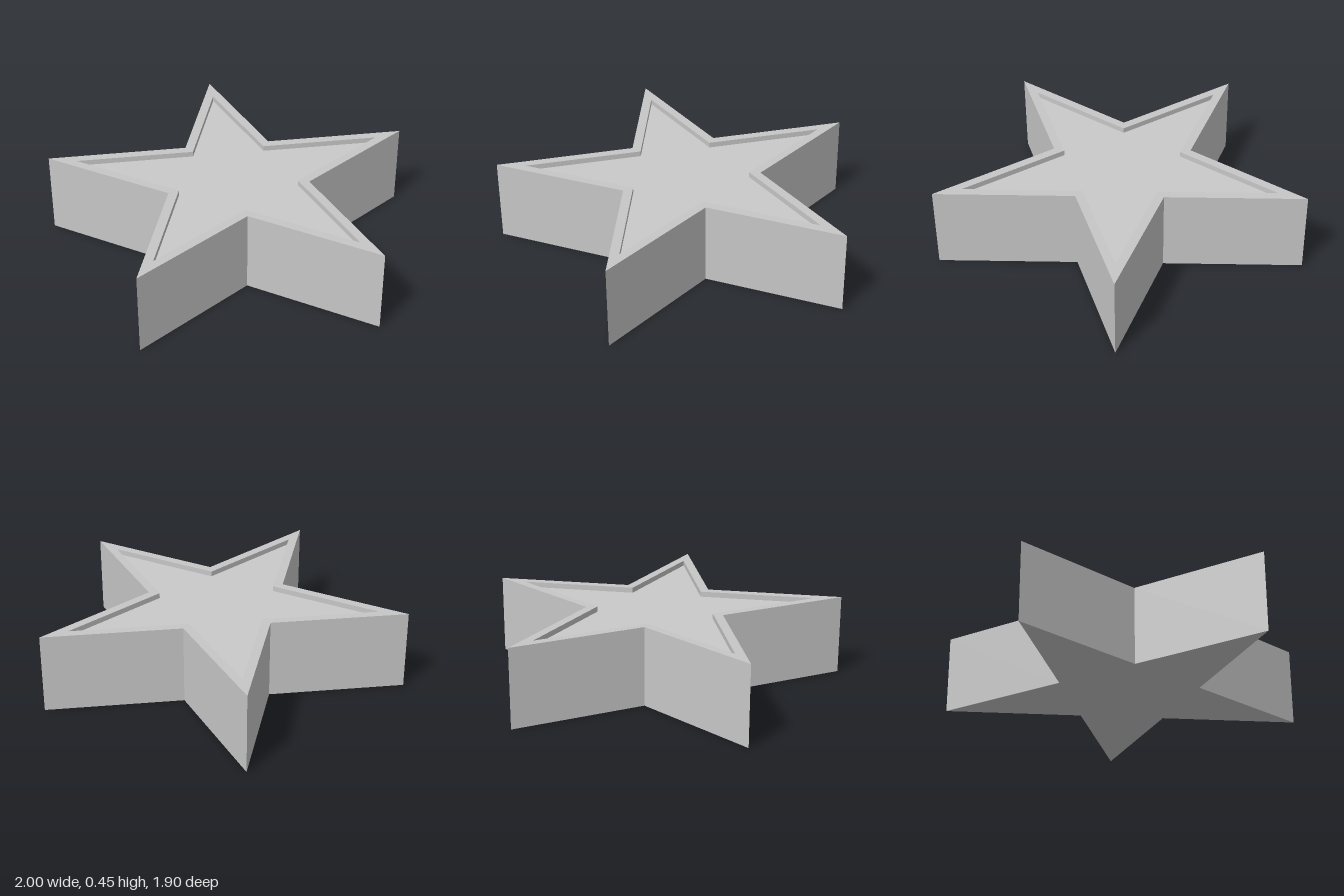
import * as THREE from 'three';

const RATIO = 0.382;      // notch radius / tip radius of a regular five-point star
const CENTRE_Z = 0.1;     // shifts the star so its bounds are centred
const HEIGHT = 0.45;
const FLOOR = 0.42;
const OUTER = 1.0515;
const INNER = 0.89;

// Ten corners of a star, starting with the tip at the back
function starRing(radius, y) {
  return Array.from({ length: 10 }, (_, i) => {
    const a = (i * Math.PI) / 5;
    const r = i % 2 ? radius * RATIO : radius;
    return [r * Math.sin(a), y, CENTRE_Z - r * Math.cos(a)];
  });
}

// Joins successive star rings with flat faces; a ring of radius 0 closes a cap
function loftStar(sections) {
  const rings = sections.map(([r, y]) => starRing(r, y));
  const points = [];
  for (let s = 0; s < rings.length - 1; s++) {
    const a = rings[s], b = rings[s + 1];
    for (let i = 0; i < 10; i++) {
      const j = (i + 1) % 10;
      if (sections[s + 1][0] > 0) points.push(...a[i], ...b[i], ...b[j]);
      if (sections[s][0] > 0) points.push(...a[i], ...b[j], ...a[j]);
    }
  }
  const geometry = new THREE.BufferGeometry();
  geometry.setAttribute('position', new THREE.Float32BufferAttribute(points, 3));
  geometry.computeVertexNormals();
  return geometry;
}

export function createModel() {
  const group = new THREE.Group();
  group.name = 'starTray';

  const bodyGrey = new THREE.MeshStandardMaterial({ color: 0xc6c6c6 });
  bodyGrey.name = 'bodyGrey';
  const floorGrey = new THREE.MeshStandardMaterial({ color: 0xcacaca });
  floorGrey.name = 'floorGrey';

  // Underside, outer walls, raised rim and the short walls of the recess
  const body = new THREE.Mesh(
    loftStar([[0, 0], [OUTER, 0], [OUTER, HEIGHT], [INNER, HEIGHT], [INNER, FLOOR]]),
    bodyGrey
  );
  body.name = 'starBody';

  // Sunken top face
  const floor = new THREE.Mesh(loftStar([[INNER, FLOOR], [0, FLOOR]]), floorGrey);
  floor.name = 'recessFloor';

  group.add(body, floor);
  return group;
}
